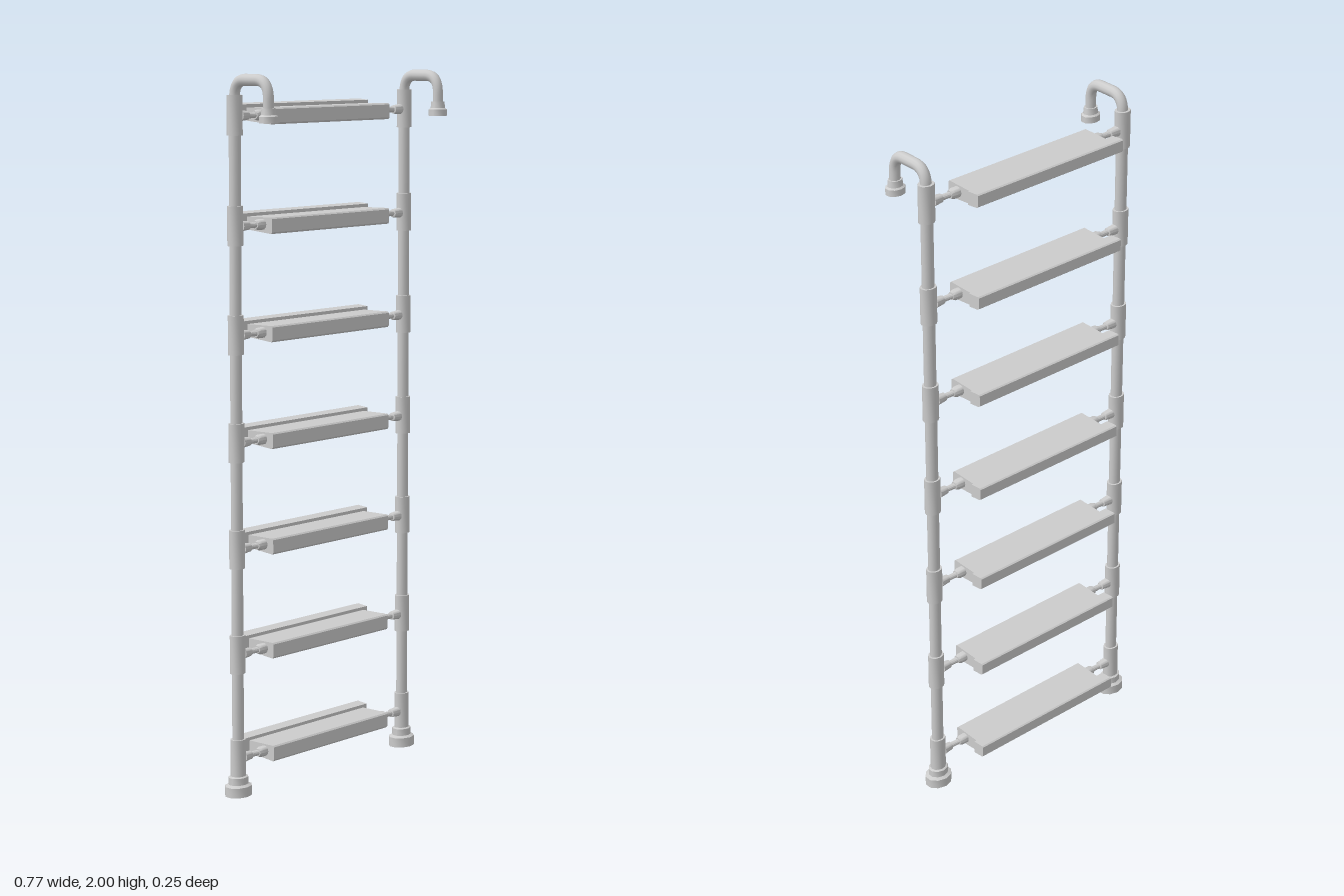
import * as THREE from 'three';
import { toCreasedNormals } from 'three/addons/utils/BufferGeometryUtils.js';

const RAIL_X = 0.345, RAIL_Z = -0.027, SQUASH = 0.83;
const RUNGS = 7, FIRST = 0.107, STEP = 0.297;

const material = new THREE.MeshStandardMaterial({ color: 0xcccccc, side: THREE.DoubleSide });

function part(name, geometry, parent, x = 0, y = 0, z = 0) {
  const mesh = new THREE.Mesh(geometry, material);
  mesh.name = name;
  mesh.position.set(x, y, z);
  parent.add(mesh);
  return mesh;
}

// Turned part from [radius, height] pairs, with crisp edges
function turned(points, sides = 12) {
  const profile = points.map(([r, y]) => new THREE.Vector2(r, y));
  return toCreasedNormals(new THREE.LatheGeometry(profile, sides), 0.7);
}

// Side profile given as [z, y], stretched across the ladder
function slab(points, halfWidth) {
  const shape = new THREE.Shape(points.map(([z, y]) => new THREE.Vector2(-z, y)));
  const geometry = new THREE.ExtrudeGeometry(shape, { depth: halfWidth * 2, bevelEnabled: false });
  return geometry.translate(0, 0, -halfWidth).rotateY(Math.PI / 2);
}

// Round tube bent over the top of a rail; z is relative to the rail
function hookTube() {
  const v = (y, z) => new THREE.Vector3(0, y, z);
  const reach = 0.127 / SQUASH, top = 1.984, bend = 0.05;
  const path = new THREE.CurvePath();
  path.add(new THREE.LineCurve3(v(1.88, 0), v(top - bend, 0)));
  path.add(new THREE.QuadraticBezierCurve3(v(top - bend, 0), v(top, 0), v(top, bend)));
  path.add(new THREE.LineCurve3(v(top, bend), v(top, reach - bend)));
  path.add(new THREE.QuadraticBezierCurve3(v(top, reach - bend), v(top, reach), v(top - bend, reach)));
  path.add(new THREE.LineCurve3(v(top - bend, reach), v(1.89, reach)));
  return new THREE.TubeGeometry(path, 40, 0.016, 12, false);
}

function createRail(side) {
  const rail = new THREE.Group();
  rail.name = side > 0 ? 'leftRail' : 'rightRail';
  rail.position.set(side * RAIL_X, 0, RAIL_Z);
  rail.scale.z = SQUASH;

  part('post', new THREE.CylinderGeometry(0.018, 0.018, 1.87, 12), rail, 0, 0.965, 0);
  part('foot', turned([[0, 0.008], [0.034, 0.008], [0.037, 0], [0.042, 0], [0.042, 0.028],
    [0.031, 0.033], [0.031, 0.053], [0.022, 0.057], [0, 0.057]], 10), rail);

  // Tee sleeve at every rung
  const sleeve = turned([[0, -0.054], [0.024, -0.054], [0.024, 0.054], [0, 0.054]]);
  for (let i = 0; i < RUNGS; i++) part('sleeve', sleeve, rail, 0, FIRST + i * STEP, 0);

  part('hook', hookTube(), rail);
  part('hookFoot', turned([[0, 1.876], [0.024, 1.876], [0.026, 1.871], [0.029, 1.871], [0.029, 1.889],
    [0.023, 1.893], [0.021, 1.911], [0, 1.911]], 10), rail, 0, 0, 0.127 / SQUASH);
  return rail;
}

function createRung(y) {
  const rung = new THREE.Group();
  rung.name = 'rung';
  rung.position.y = y;

  // Tread board and the wider raised lip behind it
  part('tread', slab([[0.01, -0.022], [0.006, -0.027], [-0.09, -0.019], [-0.09, 0.016],
    [0.006, 0.018], [0.01, 0.014]], 0.24), rung);
  part('treadLip', slab([[-0.086, -0.014], [-0.12, -0.01], [-0.125, -0.006], [-0.125, 0.025],
    [-0.121, 0.028], [-0.086, 0.025]], 0.255), rung);

  // Connector from tread to rail: coupler, thin rod, tee stub
  const connector = turned([[0, 0.23], [0.015, 0.23], [0.015, 0.258], [0.011, 0.268], [0.008, 0.268],
    [0.008, 0.295], [0.012, 0.297], [0.015, 0.325], [0, 0.325]]).rotateZ(-Math.PI / 2);
  for (const side of [1, -1]) {
    const mesh = part('connector', connector, rung, 0, -0.002, RAIL_Z);
    if (side < 0) mesh.rotation.y = Math.PI;
  }
  return rung;
}

export function createModel() {
  const model = new THREE.Group();
  model.name = 'ladder';
  for (const side of [1, -1]) model.add(createRail(side));
  for (let i = 0; i < RUNGS; i++) model.add(createRung(FIRST + i * STEP));
  return model;
}
